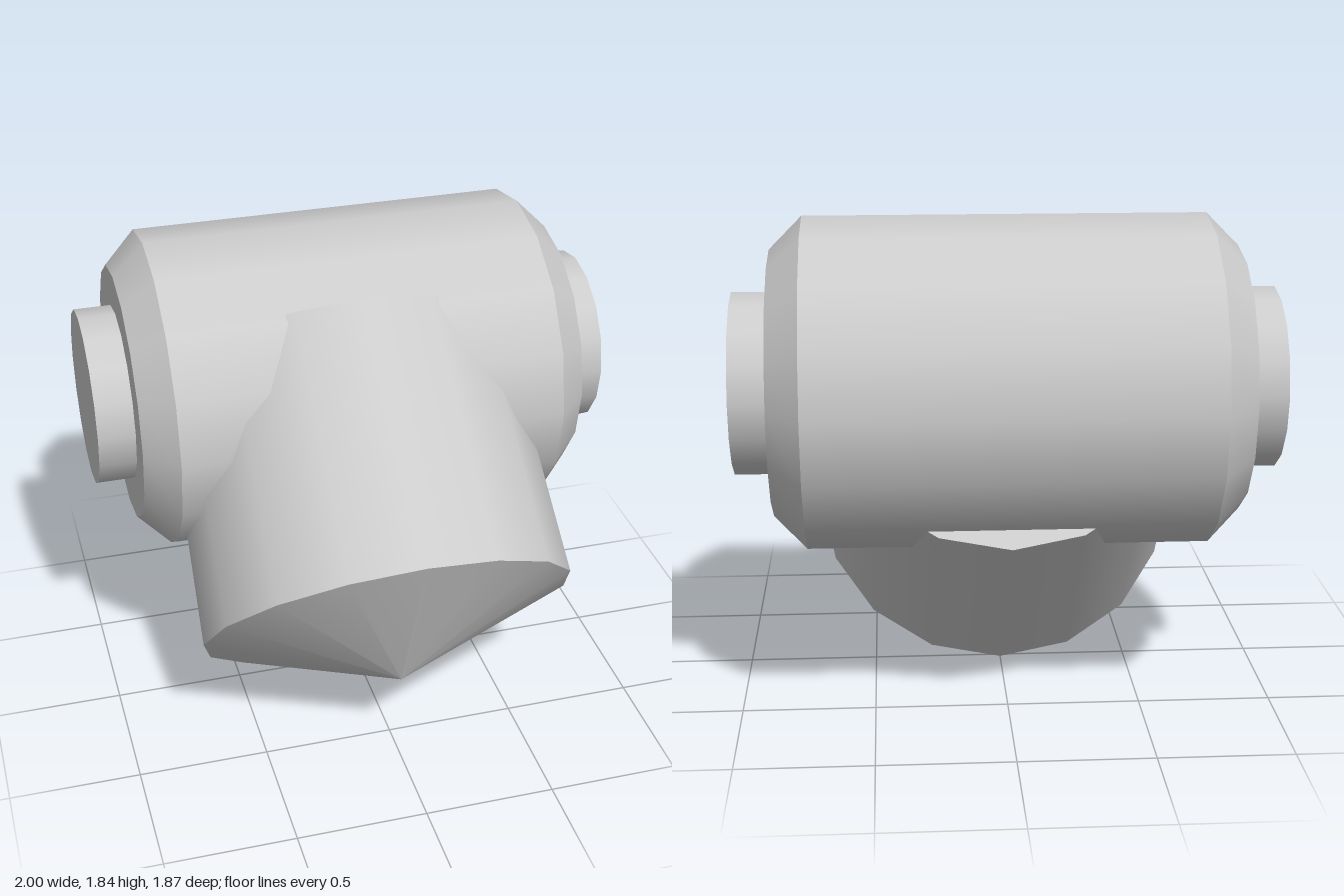
import * as THREE from 'three';

const SIDES = 16;

export function createModel() {
  const model = new THREE.Group();
  const gray = new THREE.MeshStandardMaterial({ color: 0xcccccc });
  gray.name = 'light gray';

  // Adds a (tapered) cylinder spanning y0..y1 along the parent's local y axis
  function addCylinder(parent, name, rTop, rBottom, y0, y1, open = false) {
    const geometry = new THREE.CylinderGeometry(rTop, rBottom, y1 - y0, SIDES, 1, open);
    const mesh = new THREE.Mesh(geometry, gray);
    mesh.position.y = (y0 + y1) / 2;
    mesh.name = name;
    parent.add(mesh);
  }

  // Horizontal barrel with bevelled ends and a pin on each side
  const barrel = new THREE.Group();
  barrel.name = 'barrel';
  barrel.position.set(0, 1.232, -0.315);
  addCylinder(barrel, 'barrelBody', 0.617, 0.617, -0.737, 0.737, true);
  for (const side of [1, -1]) {
    const end = new THREE.Group();
    end.name = side > 0 ? 'rightHandEnd' : 'leftHandEnd';
    if (side < 0) end.rotation.x = Math.PI;
    addCylinder(end, 'bevel', 0.495, 0.617, 0.737, 0.858);
    addCylinder(end, 'pin', 0.34, 0.34, 0.858, 1);
    barrel.add(end);
  }
  barrel.rotation.z = Math.PI / 2;
  model.add(barrel);

  // Slanted, slightly tapered stub with a conical tip
  const stub = new THREE.Group();
  stub.name = 'stub';
  stub.position.set(0, 0.543, 0.457);
  stub.rotation.x = -0.845;
  addCylinder(stub, 'stubBody', 0.686, 0.719, 0, 1.035);
  addCylinder(stub, 'stubTip', 0.719, 0, -0.255, 0, true);
  model.add(stub);

  return model;
}
